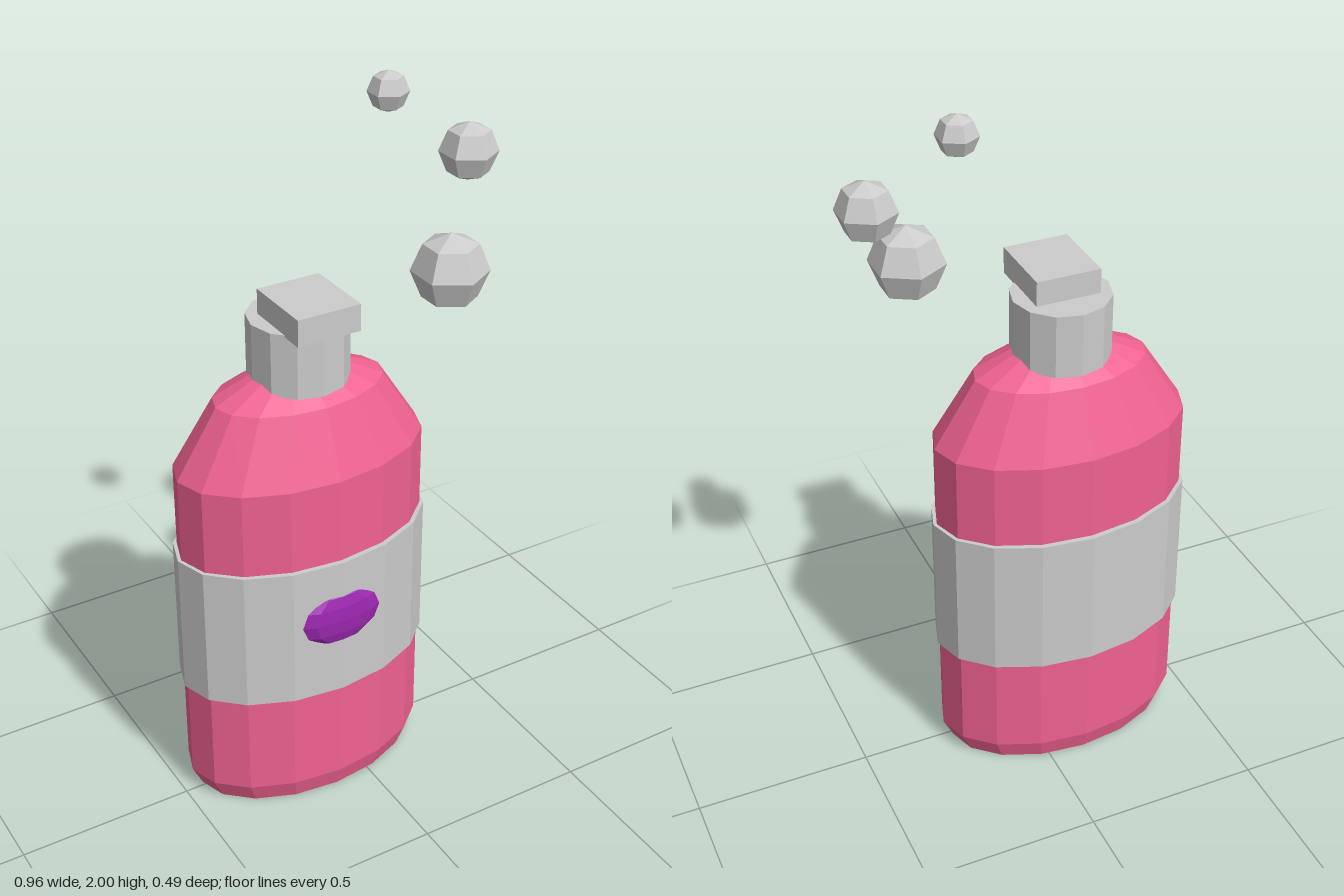
import * as THREE from 'three';

const material = (color) =>
  new THREE.MeshStandardMaterial({ color, flatShading: true });
const grey = material(0xcccccc);
const pink = material(0xf06292);
const purple = material(0x9c27b0);

function addPart(parent, name, geometry, mat, x, y, z) {
  const mesh = new THREE.Mesh(geometry, mat);
  mesh.name = name;
  mesh.position.set(x, y, z);
  parent.add(mesh);
  return mesh;
}

export function createModel() {
  const model = new THREE.Group();
  model.name = 'soapDispenser';

  const bottle = new THREE.Group();
  bottle.name = 'bottle';
  bottle.position.set(-0.107, 0, -0.012);
  model.add(bottle);

  // Oval bottle body: closed profile, bevelled foot and sloped shoulders
  const profile = [
    [0, 0], [0.335, 0], [0.364, 0.06], [0.364, 1.035],
    [0.245, 1.22], [0.13, 1.275], [0, 1.28],
  ].map(([r, y]) => new THREE.Vector2(r, y));
  addPart(bottle, 'body', new THREE.LatheGeometry(profile, 16), pink, 0, 0, 0)
    .scale.z = 0.597;

  // Label band around the middle
  addPart(bottle, 'labelBand', new THREE.CylinderGeometry(0.374, 0.374, 0.42, 16), grey, 0, 0.58, 0)
    .scale.z = 0.62;

  // Oval badge on the front of the band
  addPart(bottle, 'badge', new THREE.SphereGeometry(1, 8, 6), purple, 0, 0.61, 0.222)
    .scale.set(0.12, 0.082, 0.022);

  // Collar and pump head with its forward spout
  addPart(bottle, 'collar', new THREE.CylinderGeometry(0.136, 0.136, 0.18, 12), grey, 0, 1.34, 0);
  addPart(bottle, 'pumpHead', new THREE.BoxGeometry(0.182, 0.075, 0.21), grey, 0, 1.4625, 0.057);

  // Floating bubbles: x, y, z, radius
  const bubbles = [
    [0.258, 1.522, 0.138, 0.104],
    [0.409, 1.765, -0.014, 0.08],
    [0.197, 1.945, -0.074, 0.055],
  ];
  bubbles.forEach(([x, y, z, r], i) => {
    addPart(model, `bubble${i + 1}`, new THREE.SphereGeometry(r, 6, 4), grey, x, y, z)
      .rotation.y = Math.PI / 6;
  });

  return model;
}
